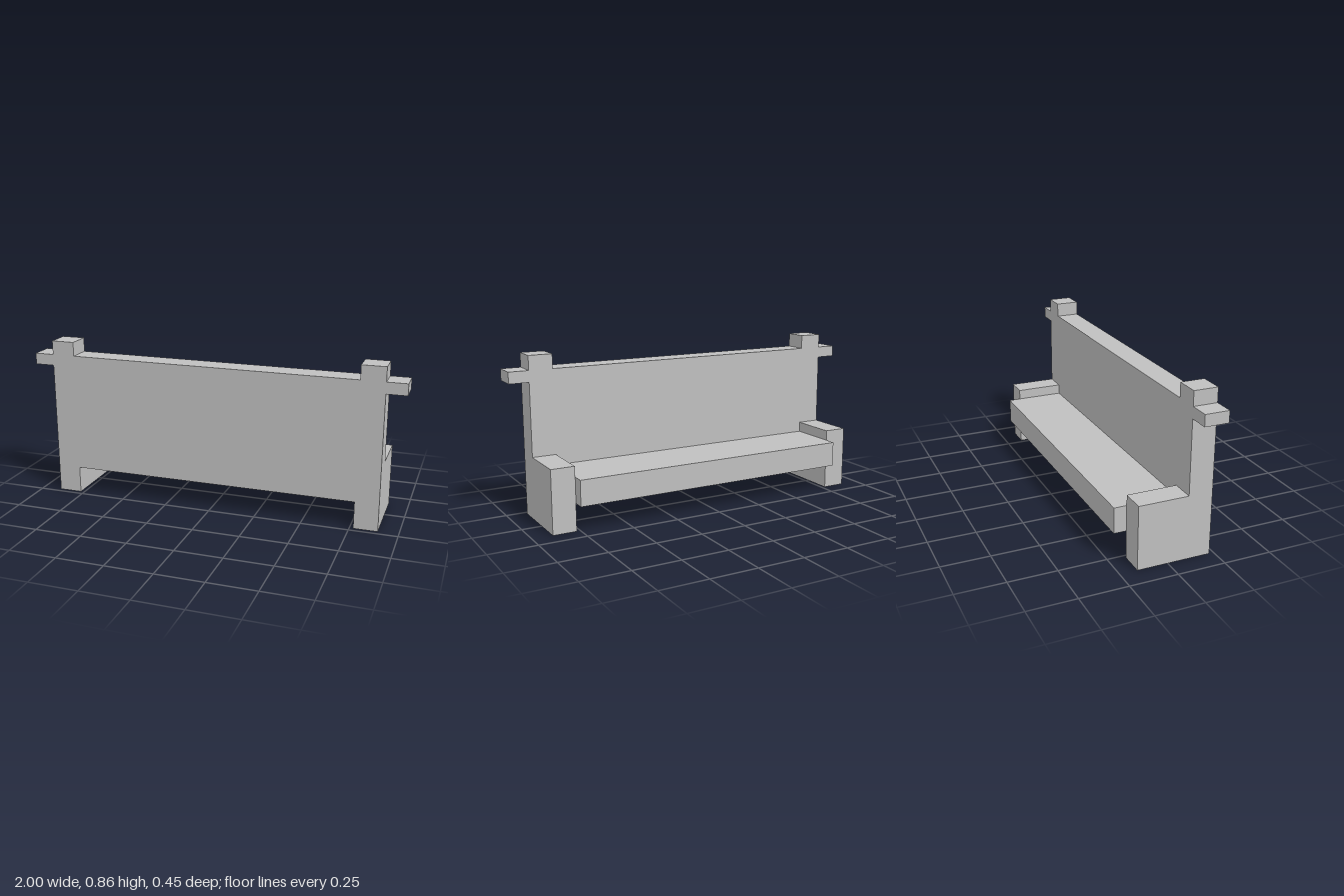
import * as THREE from 'three';

const grey = new THREE.MeshStandardMaterial({ color: 0xbfbfbf, side: THREE.DoubleSide });
grey.name = 'plain grey';

const FACES = ['left', 'right', 'top', 'bottom', 'front', 'back'];

// Box between two corners, leaving out the named faces
function shell(name, min, max, open = []) {
  const size = max.map((v, i) => v - min[i]);
  const geometry = new THREE.BoxGeometry(...size);
  geometry.translate(...min.map((v, i) => v + size[i] / 2));
  const index = Array.from(geometry.index.array);
  geometry.setIndex(index.filter((_, i) => !open.includes(FACES[Math.floor(i / 6)])));
  geometry.clearGroups();
  const mesh = new THREE.Mesh(geometry, grey);
  mesh.name = name;
  return mesh;
}

export function createModel() {
  const model = new THREE.Group();
  model.name = 'bench';

  // Tall back panel, hollow and open underneath
  model.add(
    shell('backrest', [-0.77, 0.28, 0.1], [0.77, 0.78, 0.225], ['left', 'right', 'bottom']),
    shell('frontApron', [-0.77, 0.145, 0.1], [0.77, 0.28, 0.225], ['left', 'right', 'top', 'bottom', 'back']),
  );

  // Seat, open underneath and joined to the back panel
  model.add(shell('seat', [-0.77, 0.145, -0.225], [0.77, 0.28, 0.1], ['bottom', 'front']));

  // Legs, posts and end pegs on both sides
  for (const [side, s] of [['left', 1], ['right', -1]]) {
    const part = (name, x0, x1, y0, y1, z0, z1, open) => shell(
      side + name,
      [Math.min(s * x0, s * x1), y0, z0],
      [Math.max(s * x0, s * x1), y1, z1],
      open,
    );
    const inner = s > 0 ? 'right' : 'left';
    model.add(
      part('Leg', 0.77, 0.895, 0, 0.335, -0.16, 0.225, ['bottom']),
      part('Post', 0.77, 0.895, 0.335, 0.855, 0.1, 0.225, ['bottom']),
      part('Peg', 0.895, 1, 0.72, 0.78, 0.1, 0.225, [inner]),
    );
  }

  return model;
}
